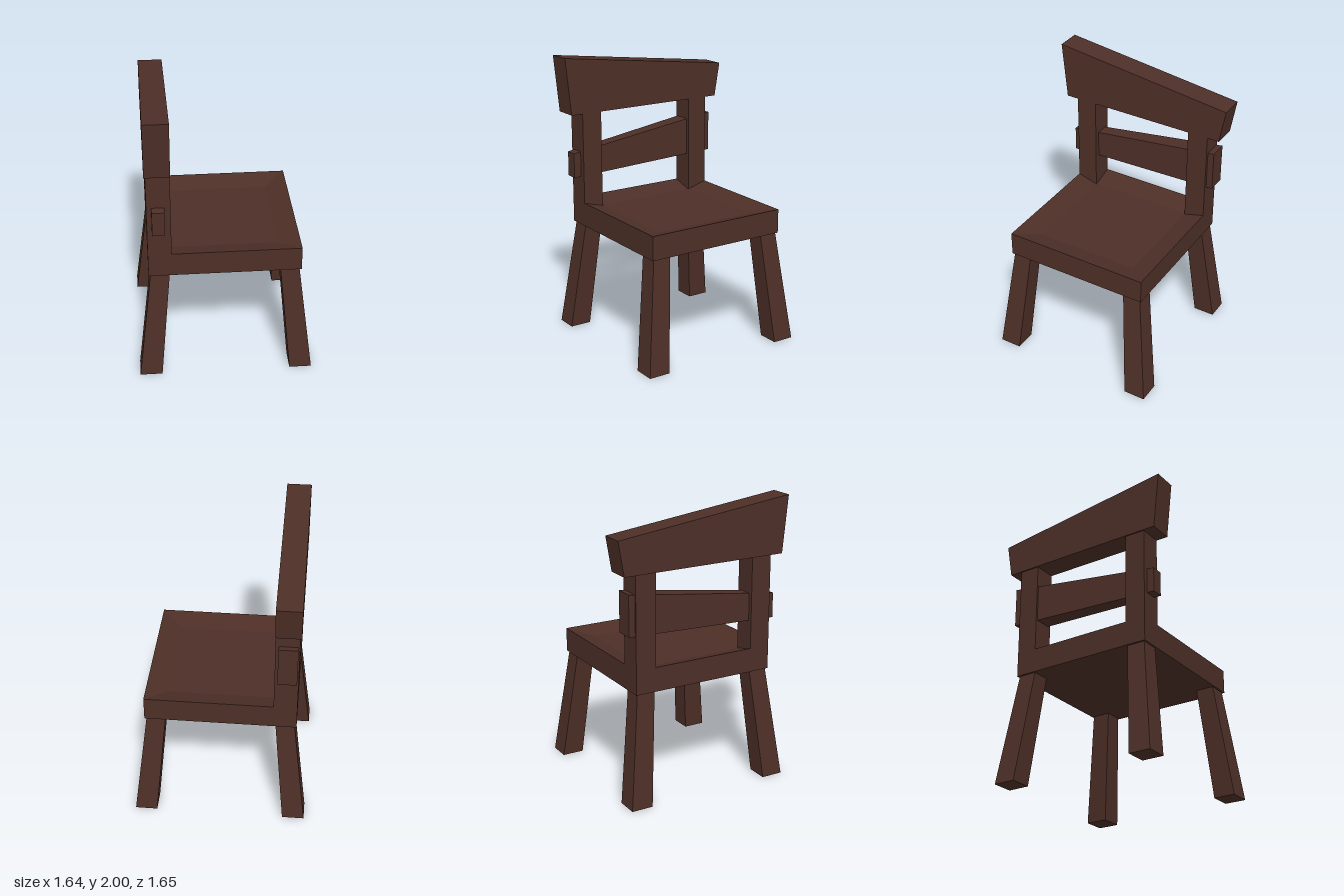
import * as THREE from 'three';

const wood = new THREE.MeshStandardMaterial({ color: 0x4d2f27, flatShading: true });

function part(name, geometry) {
  const mesh = new THREE.Mesh(geometry, wood);
  mesh.name = name;
  return mesh;
}

// Box whose corners are placed by rule(sx, sy, sz), each sign being -1 or 1
function shapedBox(name, rule) {
  const geometry = new THREE.BoxGeometry(2, 2, 2);
  const p = geometry.attributes.position;
  for (let i = 0; i < p.count; i++) {
    p.setXYZ(i, ...rule(Math.sign(p.getX(i)), Math.sign(p.getY(i)), Math.sign(p.getZ(i))));
  }
  geometry.computeVertexNormals();
  return part(name, geometry);
}

export function createModel() {
  const chair = new THREE.Group();
  chair.name = 'chair';

  // Square seat with a shallow dished top: a four-sided lathe
  const seatProfile = [[0, 0.785], [0.521, 0.785], [0.521, 0.955], [0.37, 0.912], [0, 0.912]]
    .map(([r, y]) => new THREE.Vector2(r * Math.SQRT2, y));
  chair.add(part('seat', new THREE.LatheGeometry(seatProfile, 4, Math.PI / 4)));

  // Splayed legs, slightly thicker at the foot
  for (const side of [-1, 1]) {
    for (const end of [-1, 1]) {
      const reach = (s, sy) => (sy > 0 ? 0.442 + s * 0.065 : 0.527 + s * 0.077);
      chair.add(shapedBox(end > 0 ? 'frontLeg' : 'backLeg', (sx, sy, sz) => [
        side * reach(sx * side, sy), sy > 0 ? 0.79 : 0, end * reach(sz * end, sy),
      ]));
    }

    // Upright back posts
    chair.add(shapedBox('backPost', (sx, sy, sz) => [
      side * 0.447 + sx * 0.074, sy > 0 ? 1.605 : 0.9, -0.441 + sz * 0.08,
    ]));
  }

  // Middle slat, growing taller and thicker towards the left, its ends passing through the posts
  chair.add(shapedBox('backSlat', (sx, sy, sz) => (sx > 0
    ? [0.567, sy > 0 ? 1.475 : 1.19, -0.447 + sz * 0.065]
    : [-0.574, sy > 0 ? 1.315 : 1.14, -0.445 + sz * 0.042])));

  // Top rail with a sloping upper edge and flared ends
  chair.add(shapedBox('topRail', (sx, sy, sz) => [
    sx * (sy > 0 ? 0.648 : 0.607), sy > 0 ? 1.92 - sx * 0.08 : 1.6, -0.446 + sz * 0.085,
  ]));

  // The whole chair stands turned towards its left
  chair.rotation.y = THREE.MathUtils.degToRad(60.7);
  const model = new THREE.Group();
  model.name = 'turnedChair';
  model.add(chair);
  return model;
}
